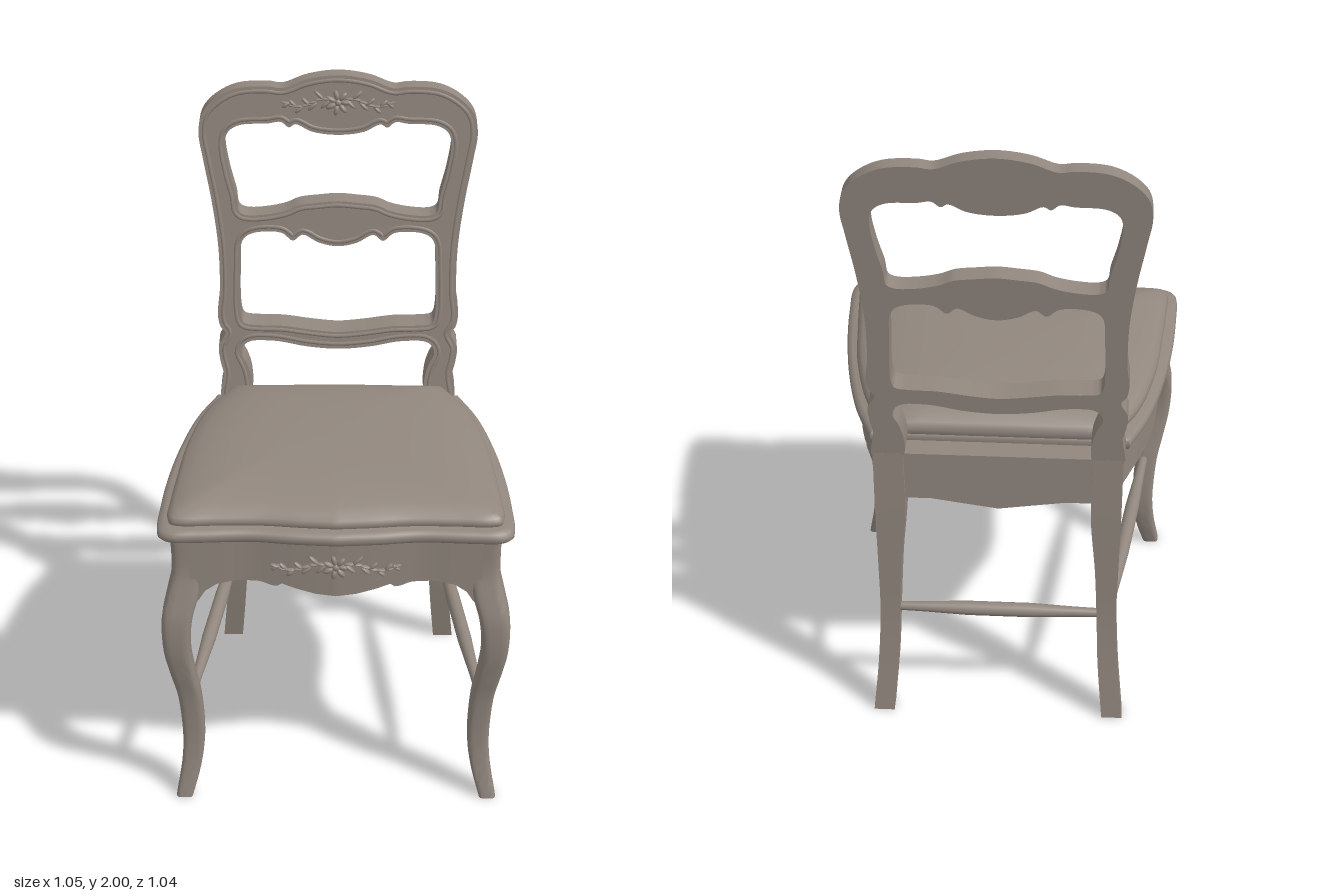
import * as THREE from 'three';
import { toCreasedNormals } from 'three/addons/utils/BufferGeometryUtils.js';

const V = (x, y, z = 0) => new THREE.Vector3(x, y, z);
const wood = new THREE.MeshStandardMaterial({ color: 0x91877e });
wood.name = 'greyBrownWood';

function add(group, name, geometry) {
  const mesh = new THREE.Mesh(geometry, wood);
  mesh.name = name;
  group.add(mesh);
  return mesh;
}

// Skin a list of equal-length closed rings, cap both ends, face outwards
function loft(rings, crease = 0.6) {
  const n = rings[0].length, pos = [], idx = [];
  rings.forEach(r => r.forEach(p => pos.push(p.x, p.y, p.z)));
  for (let i = 0; i < rings.length - 1; i++)
    for (let j = 0; j < n; j++) {
      const a = i * n + j, b = i * n + (j + 1) % n;
      idx.push(a, b, b + n, a, b + n, a + n);
    }
  [0, rings.length - 1].forEach((r, end) => {
    const c = rings[r].reduce((s, p) => s.add(p), V(0, 0, 0)).divideScalar(n);
    const k = pos.length / 3;
    pos.push(c.x, c.y, c.z);
    for (let j = 0; j < n; j++) {
      const a = r * n + j, b = r * n + (j + 1) % n;
      end ? idx.push(a, b, k) : idx.push(b, a, k);
    }
  });
  const at = i => V(pos[3 * i], pos[3 * i + 1], pos[3 * i + 2]);
  let volume = 0;
  for (let i = 0; i < idx.length; i += 3)
    volume += at(idx[i]).dot(at(idx[i + 1]).cross(at(idx[i + 2])));
  if (volume < 0) idx.reverse();
  const g = new THREE.BufferGeometry();
  g.setAttribute('position', new THREE.Float32BufferAttribute(pos, 3));
  g.setIndex(idx);
  return toCreasedNormals(g, crease);
}

const spline = (pts, n) =>
  new THREE.CatmullRomCurve3(pts.map(p => V(...p)), false, 'centripetal').getPoints(n);

// Value of a [key, value] table, linear between keys
function lookup(table, k) {
  for (let i = 1; i < table.length; i++)
    if (k <= table[i][0]) {
      const [a, b] = [table[i - 1], table[i]];
      return THREE.MathUtils.lerp(a[1], b[1], Math.max(0, (k - a[0]) / (b[0] - a[0])));
    }
  return table[table.length - 1][1];
}

// Mirror a half outline (centre to centre, over +x)
const mirror = half => [...half, ...half.filter(p => p.x > 1e-6).reverse().map(p => V(-p.x, p.y, p.z))];

// Half of a seat plan: curved front and side, straight back edge
function plan(pts) {
  const curve = spline(pts, 88), end = curve[curve.length - 1];
  return [...curve, ...[.75, .5, .25, 0].map(t => V(end.x * t, 0, end.z))];
}
const rimHalf = plan([[0, 0, .52], [.12, 0, .511], [.25, 0, .496], [.4, 0, .503], [.485, 0, .503], [.514, 0, .482],
  [.522, 0, .44], [.52, 0, .35], [.511, 0, .2], [.486, 0, 0], [.442, 0, -.2], [.385, 0, -.35]]);
const cushionHalf = plan([[0, 0, .478], [.1, 0, .47], [.22, 0, .458], [.35, 0, .459], [.45, 0, .463], [.481, 0, .453],
  [.49, 0, .42], [.487, 0, .35], [.476, 0, .2], [.456, 0, 0], [.408, 0, -.2], [.333, 0, -.35]]);

// Stack of plan outlines, each layer being [scale, y]; small layers turn rounder
const stack = (half, layers) => loft(layers.map(([s, y]) => mirror(half).map(p => {
  const q = V(p.x, 0, p.z - .03);
  q.lerp(q.clone().setLength(.43), 1 - s).multiplyScalar(s);
  return V(q.x, y, q.z + .03 * s - .02 * (1 - s));
})), 0.9);

// Vertical panel following a plan path, with a shaped lower edge
const panel = (path, inward, top, bottom) => loft(path.map(p => {
  const q = p.clone().add(inward), b = bottom(p);
  return [V(p.x, top, p.z), V(q.x, top, q.z), V(q.x, b, q.z), V(p.x, b, p.z)];
}), 0.5);

// Back frame faces lean backwards and get thinner upwards
const frontZ = y => -.35 - .12 * (y - .95);
const backZ = y => -.44 - .08 * (y - .95);

const contour = half => {
  const pts = [...half, ...half.filter(p => p[0] > 0).reverse().map(p => [-p[0], p[1]])];
  const c = new THREE.CatmullRomCurve3(pts.map(p => V(p[0], p[1])), true, 'centripetal').getPoints(pts.length * 5);
  return c.slice(0, -1);
};

// Raised bead running beside a contour on the front face
function bead(pts, offset) {
  const n = pts.length;
  const path = pts.map((p, i) => {
    const d = pts[(i + 2) % n].clone().sub(pts[(i + n - 2) % n]).normalize();
    const x = p.x + d.y * offset, y = p.y - d.x * offset;
    return V(x, y, frontZ(y) - .003);
  }).filter((p, i) => i % 2 === 0);
  return new THREE.TubeGeometry(new THREE.CatmullRomCurve3(path, true), 240, .007, 6, true);
}

function backFrame(group) {
  const outer = contour([[0, 2], [.095, 1.987], [.17, 1.96], [.215, 1.965], [.31, 1.958], [.375, 1.925], [.415, 1.88],
    [.427, 1.82], [.415, 1.74], [.39, 1.6], [.372, 1.45], [.371, 1.3], [.378, 1.24], [.37, 1.195], [.355, 1.175],
    [.376, 1.13], [.372, 1.08], [.363, 1.04], [.368, .95], [.28, .95], [.275, 1.02], [.288, 1.07], [.305, 1.11],
    [.285, 1.143], [.2, 1.148], [.1, 1.13], [0, 1.122]]);
  const holes = [
    [[0, 1.815], [.08, 1.825], [.13, 1.848], [.15, 1.838], [.175, 1.855], [.215, 1.85], [.3, 1.845], [.335, 1.825],
      [.347, 1.79], [.335, 1.7], [.315, 1.62], [.307, 1.572], [.285, 1.56], [.22, 1.562], [.16, 1.575], [.12, 1.592],
      [.06, 1.6], [0, 1.605]],
    [[0, 1.46], [.06, 1.472], [.11, 1.497], [.14, 1.478], [.175, 1.503], [.25, 1.505], [.285, 1.492], [.3, 1.47],
      [.305, 1.4], [.305, 1.23], [.295, 1.207], [.25, 1.2], [.175, 1.198], [.08, 1.185], [0, 1.178]],
  ].map(contour);
  const flat = pts => pts.map(p => new THREE.Vector2(p.x, p.y));
  const shape = new THREE.Shape(flat(outer));
  // Openings run against the outer contour so that their walls face inwards
  holes.forEach(h => shape.holes.push(new THREE.Path(flat(h).reverse())));
  const g = new THREE.ExtrudeGeometry(shape, { depth: 1, bevelEnabled: false });
  const a = g.attributes.position;
  for (let i = 0; i < a.count; i++) a.setZ(i, (a.getZ(i) > .5 ? frontZ : backZ)(a.getY(i)));
  add(group, 'backFrame', toCreasedNormals(g, 0.6));
  add(group, 'outerBead', bead(outer, .016));
  holes.forEach(h => add(group, 'openingBead', bead(h, -.014)));
}

// Carved spray: a rosette with leafy scrolls to both sides
function carving(name, reach, bend) {
  const group = new THREE.Group();
  group.name = name;
  const leaf = (x, y, angle, length, width) => {
    const m = add(group, 'leaf', new THREE.SphereGeometry(1, 10, 6));
    m.scale.set(length, width, .009);
    m.position.set(x, y, -bend * x * x);
    m.rotation.z = angle;
  };
  for (let k = 0; k < 7; k++) {
    const t = k / 7 * Math.PI * 2;
    leaf(Math.cos(t) * .024, Math.sin(t) * .024, t, .017, .008);
  }
  leaf(0, 0, 0, .011, .011);
  for (const s of [-1, 1])
    for (let k = 0; k < 7; k++) {
      const u = (k + 1.8) / 8.8, x = s * u * reach, y = .012 * Math.sin(u * 7), up = k % 2 ? 1 : -1;
      leaf(x, y, s * .25 * Math.cos(u * 7), .016, .004);
      leaf(x, y + up * .014 * (1.3 - u), s * up * .75, .019 * (1.3 - u * .6), .006);
    }
  return group;
}

// Turned rod between two points, thicker in the middle
function rod(group, name, a, b) {
  const len = a.distanceTo(b);
  const prof = [[.013, -.5], [.016, -.35], [.022, -.15], [.022, .15], [.016, .35], [.013, .5]]
    .map(([r, t]) => new THREE.Vector2(r, t * len));
  const m = add(group, name, new THREE.LatheGeometry(prof, 14));
  m.position.copy(a).add(b).multiplyScalar(.5);
  m.quaternion.setFromUnitVectors(V(0, 1, 0), b.clone().sub(a).normalize());
}

export function createModel() {
  const chair = new THREE.Group();
  chair.name = 'chair';

  // Seat
  add(chair, 'seatRim', stack(rimHalf, [[.975, .935], [.992, .938], [1, .946], [1, .958], [.992, .968], [.97, .973]]));
  add(chair, 'cushion', stack(cushionHalf, [[.99, .965], [1, .972], [1.004, .984], [.995, .997], [.97, 1.007],
    [.9, 1.02], [.82, 1.031], [.7, 1.041], [.5, 1.049], [.25, 1.054], [.02, 1.056]]));

  // Aprons with scalloped lower edges
  const frontEdge = [[0, .75], [.06, .756], [.12, .772], [.16, .786], [.172, .776], [.19, .777], [.22, .789], [.29, .791],
    [.35, .779], [.385, .755], [.41, .715]];
  const sideEdge = [[-.36, .77], [-.33, .792], [-.24, .79], [-.18, .782], [-.155, .772], [-.14, .779], [-.1, .765],
    [-.03, .752], [.05, .755], [.13, .772], [.2, .79], [.3, .798], [.35, .78], [.385, .745], [.4, .715]];
  const frontHalf = spline([[0, 0, .49], [.12, 0, .481], [.25, 0, .467], [.34, 0, .469], [.43, 0, .472]], 40);
  const frontPath = [...frontHalf.slice(1).reverse().map(p => V(-p.x, 0, p.z)), ...frontHalf];
  add(chair, 'frontApron', panel(frontPath, V(0, 0, -.05), .94, p => lookup(frontEdge, Math.abs(p.x))));
  const backPath = [-.29, -.2, -.1, 0, .1, .2, .29].map(x => V(x, 0, -.425));
  add(chair, 'backApron', panel(backPath, V(0, 0, .07), .95, p => .76 + .03 * Math.min(1, Math.abs(p.x) / .2)));

  const sidePath = spline([[.485, 0, .42], [.484, 0, .35], [.476, 0, .2], [.451, 0, 0], [.407, 0, -.2], [.354, 0, -.36]], 64);
  for (const s of [1, -1]) {
    const name = s > 0 ? 'left' : 'right';
    add(chair, name + 'Apron', panel(sidePath.map(p => V(s * p.x, 0, p.z)), V(-s * .045, 0, 0), .94, p => lookup(sideEdge, p.z)));

    // Curved front leg: outer edge, height, inner edge
    const legRings = spline([[.485, .94, .395], [.484, .81, .392], [.499, .74, .403], [.516, .66, .425], [.514, .55, .434],
      [.496, .45, .423], [.478, .36, .409], [.468, .2, .402], [.475, .1, .415], [.492, 0, .442]], 36).map(p => {
      const h = (p.x - p.z) / 2, c = (p.x + p.z) / 2, ring = [];
      for (let k = 0; k < 24; k++) {
        const t = (k + .5) / 24 * Math.PI * 2, f = v => Math.sign(v) * Math.min(1, Math.abs(v) ** .5 * 1.02);
        ring.push(V(s * (c + h * f(Math.cos(t))), p.y, c - .014 + h * f(Math.sin(t))));
      }
      return ring;
    });
    add(chair, name + 'FrontLeg', loft(legRings, 0.7));

    // Back leg: side edges and front/back edges follow two splines
    const xs = spline([[.368, .96, .28], [.366, .75, .276], [.362, .55, .292], [.36, .38, .3], [.368, .2, .307], [.386, 0, .323]], 24);
    const zs = spline([[-.351, .96, -.441], [-.349, .75, -.444], [-.357, .55, -.444], [-.372, .38, -.444], [-.392, .2, -.455], [-.423, 0, -.476]], 24);
    add(chair, name + 'BackLeg', loft(xs.map((p, i) => {
      const q = zs[i];
      return [V(s * p.x, p.y, q.x), V(s * p.z, p.y, q.x), V(s * p.z, p.y, q.z), V(s * p.x, p.y, q.z)];
    })));

    rod(chair, name + 'Stretcher', V(s * .436, .365, .43), V(s * .335, .365, -.4));

    // Corner braces under the seat
    for (const [x, z, turn] of [[.37, .37, 1], [.29, -.32, -1]]) {
      const brace = add(chair, 'cornerBrace', new THREE.BoxGeometry(.2, .1, .03));
      brace.position.set(s * x, .885, z);
      brace.rotation.y = s * turn * Math.PI / 4;
    }
  }
  rod(chair, 'backStretcher', V(-.32, .365, -.41), V(.32, .365, -.41));

  // Back and carvings
  backFrame(chair);
  const apronCarving = carving('apronCarving', .2, .4);
  apronCarving.position.set(0, .85, .491);
  const crestCarving = carving('crestCarving', .18, 0);
  crestCarving.position.set(0, 1.915, frontZ(1.915));
  crestCarving.rotation.x = -.12;
  chair.add(apronCarving, crestCarving);
  return chair;
}
